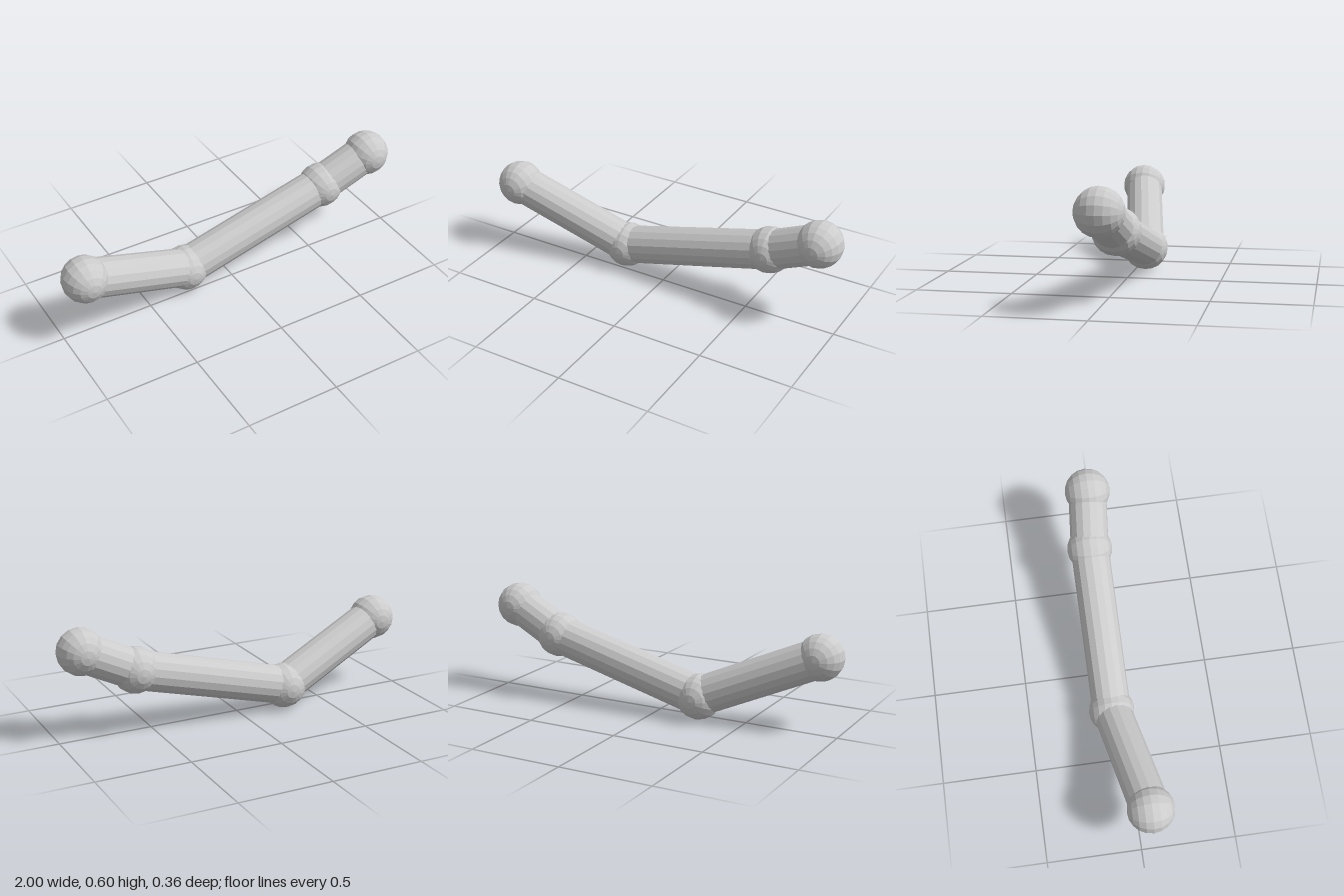
import * as THREE from 'three';

const BALL_RADIUS = 0.122;
const ROD_RADIUS = 0.103;

export function createModel() {
  const model = new THREE.Group();
  model.name = 'jointedArm';
  const material = new THREE.MeshStandardMaterial({ color: 0xcccccc, flatShading: true });

  // Joint centres, from the right end to the left end
  const joints = [
    ['rightEndBall', new THREE.Vector3(-0.878, 0.388, 0.057)],
    ['lowerJointBall', new THREE.Vector3(-0.255, 0.122, -0.055)],
    ['upperJointBall', new THREE.Vector3(0.6, 0.35, -0.056)],
    ['leftEndBall', new THREE.Vector3(0.878, 0.482, -0.03)],
  ];

  // Balls, with their poles facing front and back
  const ballGeometry = new THREE.SphereGeometry(BALL_RADIUS, 16, 10).rotateX(Math.PI / 2);
  for (const [name, centre] of joints) {
    const ball = new THREE.Mesh(ballGeometry, material);
    ball.name = name;
    ball.position.copy(centre);
    model.add(ball);
  }

  // Rods, each running from one ball centre to the next
  const up = new THREE.Vector3(0, 1, 0);
  ['rightRod', 'middleRod', 'leftRod'].forEach((name, i) => {
    const start = joints[i][1];
    const span = joints[i + 1][1].clone().sub(start);
    const rod = new THREE.Mesh(
      new THREE.CylinderGeometry(ROD_RADIUS, ROD_RADIUS, span.length(), 16), material);
    rod.name = name;
    rod.position.copy(start).addScaledVector(span, 0.5);
    rod.quaternion.setFromUnitVectors(up, span.normalize());
    model.add(rod);
  });

  return model;
}
